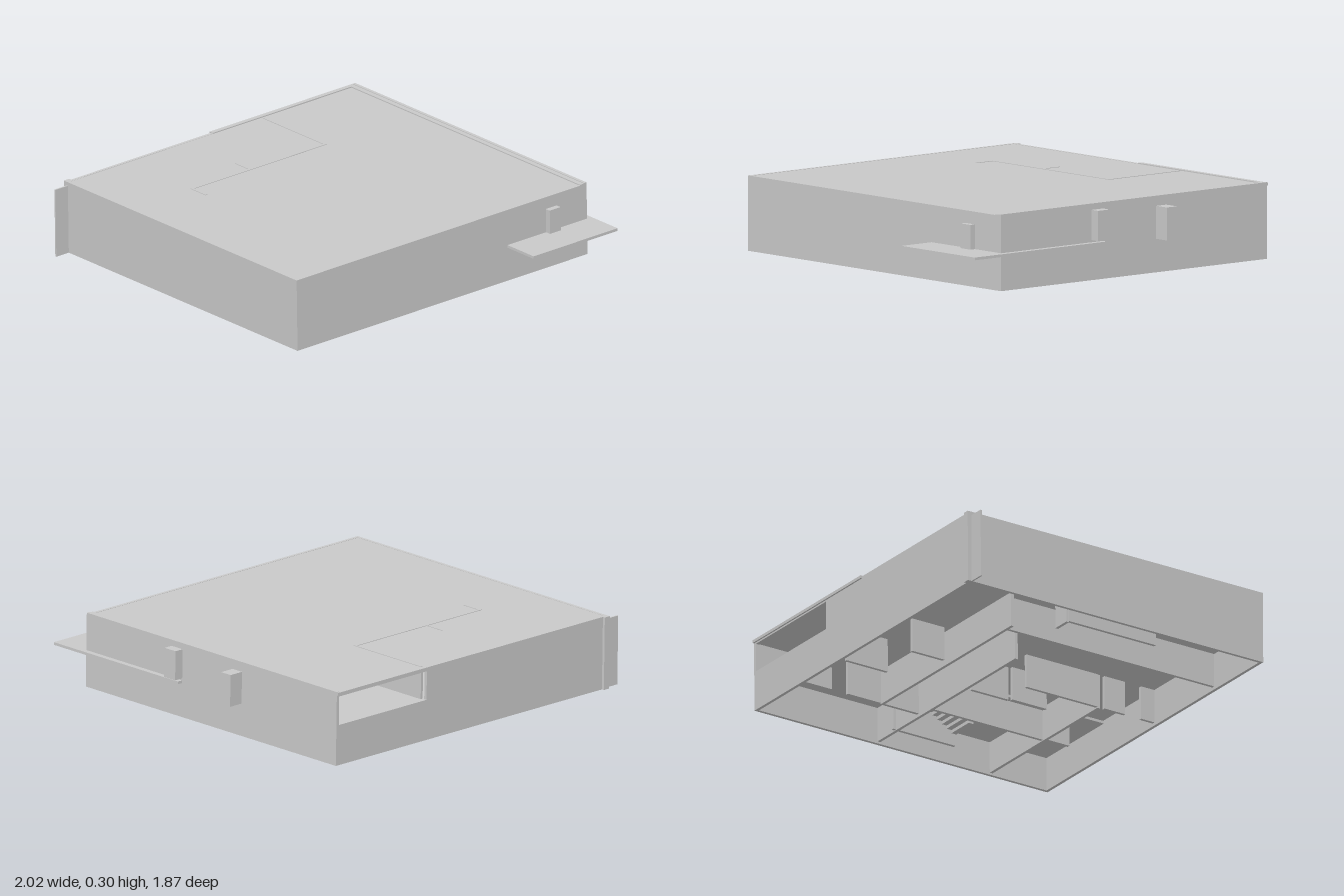
import * as THREE from 'three';

export function createModel() {
  const grey = new THREE.MeshStandardMaterial({ color: 0xc8c8c8 });
  grey.name = 'plainGrey';

  const model = new THREE.Group();
  model.name = 'houseBlock';
  const house = new THREE.Group();
  house.name = 'house';
  model.add(house);

  // Box from its limits along width (u), height (y) and depth (v)
  function slab(name, u0, u1, y0, y1, v0, v1) {
    const mesh = new THREE.Mesh(new THREE.BoxGeometry(u1 - u0, y1 - y0, v1 - v0), grey);
    mesh.position.set((u0 + u1) / 2, (y0 + y1) / 2, (v0 + v1) / 2);
    mesh.name = name;
    house.add(mesh);
  }

  const U = 0.64, V = 0.687, T = 0.012;   // half width, half depth, wall thickness
  const FLOOR = 0.14, TOP = 0.274;        // slab heights

  // Outer walls, one with a wide opening on the upper floor
  slab('streetWall', -U, U, 0, TOP, V - T, V);
  slab('gardenWall', -U, U, 0, TOP + 0.005, -V, -V + T);
  slab('porchWall', U - T, U, 0, TOP, -V, V);
  slab('terraceWallLower', -U, -U + T, 0, FLOOR + 0.012, -V, V);
  slab('terraceWallUpper', -U, -U + T, FLOOR, TOP, -0.23, V);
  slab('terraceLintel', -U, -U + T, TOP - 0.014, TOP, -V, -0.23);

  // Floor and roof
  slab('upperFloor', -U + T, U - T, FLOOR, FLOOR + 0.012, -V + T, V - T);
  slab('roof', -U + T, U - T, TOP - 0.012, TOP - 0.001, -V + 0.03, V - T);
  slab('roofEdge', -U + T, U, TOP - 0.012, TOP + 0.003, -V, -V + 0.03);
  slab('roofTrim', -U - 0.006, -U + 0.012, TOP - 0.008, TOP + 0.003, -V, 0);

  // Upper floor walls, just showing through the roof
  const upper = [
    [-0.62, -0.28, -0.24, -0.23],
    [-0.285, -0.275, -0.24, 0.4],
    [-0.285, -0.2, 0.39, 0.4],
    [-0.36, -0.28, 0.12, 0.125],
  ];
  for (const [u0, u1, v0, v1] of upper) slab('upperWall', u0, u1, FLOOR, TOP + 0.001, v0, v1);

  // Lower floor walls running across the width: [u0, u1, v]
  const across = [
    [-0.27, 0.63, 0.38],
    [-0.12, 0.15, -0.57],
    [-0.1, 0.38, -0.35],
    [0.39, 0.49, -0.34],
    [0.57, 0.63, 0], [0.41, 0.5, 0], [0.07, 0.38, 0],
    [0.09, 0.24, -0.12], [-0.08, 0.08, -0.13],
    [-0.43, -0.12, -0.41], [-0.62, -0.5, -0.41],
    [-0.45, -0.31, 0.03], [-0.6, -0.42, -0.17],
    [-0.13, 0.25, 0.56],
  ];
  for (const [u0, u1, v] of across) slab('crossWall', u0, u1, 0.012, FLOOR, v, v + T);

  // Lower floor walls running along the depth: [u, v0, v1]
  const along = [
    [0.38, -V + T, 0.01],
    [-0.11, -V + T, 0.2],
    [-0.285, -0.4, 0.43],
    [-0.14, 0.5, 0.57],
  ];
  for (const [u, v0, v1] of along) slab('longWall', u, u + T, 0.008, FLOOR, v0, v1);

  // Stairs up to the floor slab
  const steps = 10;
  for (let i = 0; i < steps; i++) {
    const u = 0.1 - i * 0.021;
    slab('stairStep', u - 0.021, u, 0.015 + i * 0.0125, 0.04 + i * 0.0115, -0.48, -0.37);
  }

  // Porch plate with a doorway, and two bays on the garden wall
  slab('porchPlate', 0.15, 0.785, 0.128, 0.138, -0.708, -0.31);
  slab('porchDoorway', 0.62, 0.662, 0.132, 0.228, -0.545, -0.493);
  slab('largeBay', -0.155, -0.107, 0.122, 0.242, -0.745, -V + T);
  slab('smallBay', 0.149, 0.205, 0.146, 0.256, -0.723, -V + T);

  // Thin fin at the street corner
  slab('cornerFin', -0.634, -0.628, 0, 0.26, V - T, 0.746);
  slab('cornerPost', -0.65, -U, 0, TOP, V - 0.025, V);

  // Turn the house on its plot, with a slight slope
  house.position.set(-0.055, 0.013, 0);
  house.rotation.y = -0.666;
  model.rotation.z = 0.013;
  const root = new THREE.Group();
  root.name = 'building';
  root.add(model);
  return root;
}
